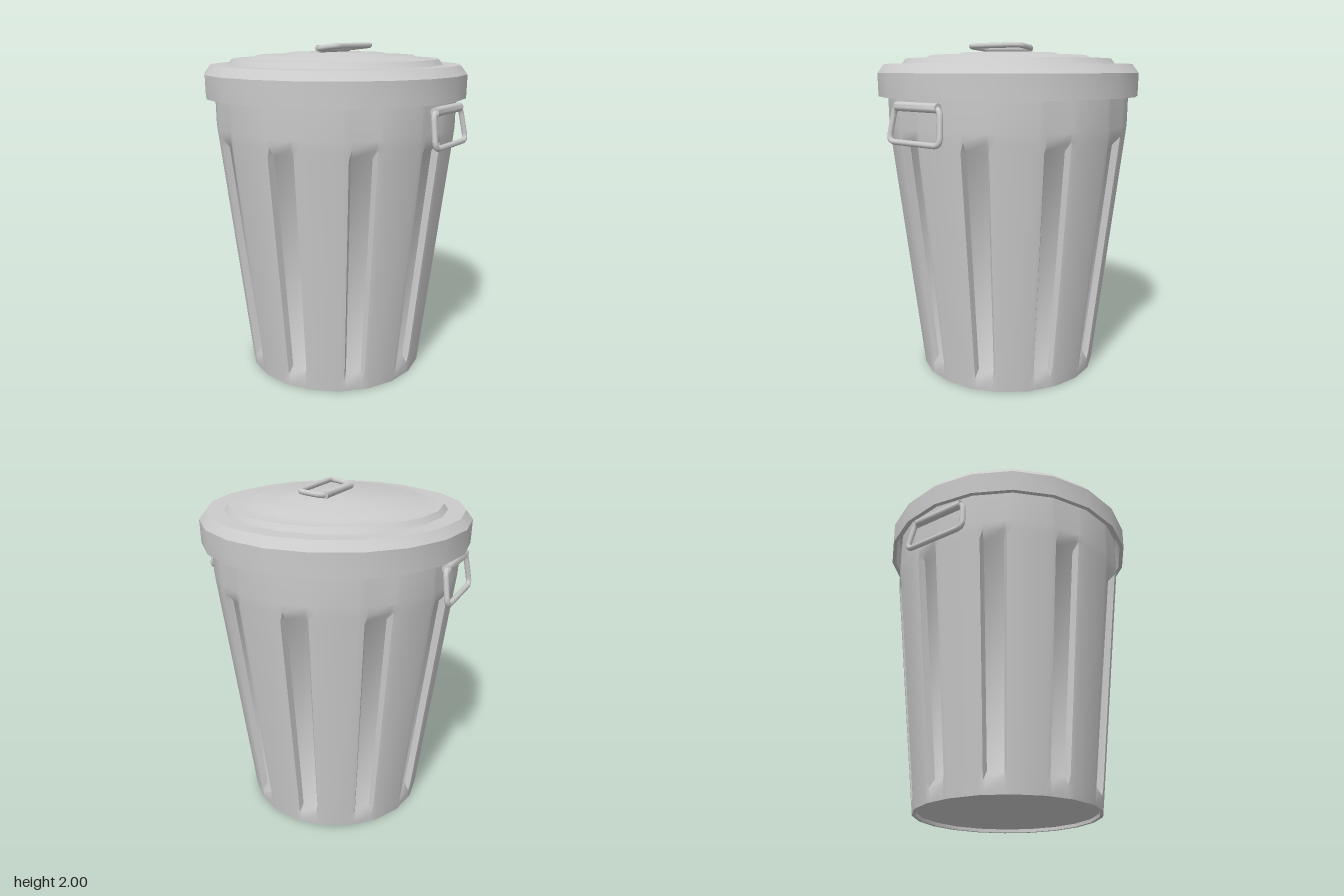
import * as THREE from 'three';
import { toCreasedNormals } from 'three/addons/utils/BufferGeometryUtils.js';

const SIDES = 20;
const CREASE = THREE.MathUtils.degToRad(38);
const material = new THREE.MeshStandardMaterial({ color: 0xcccccc, side: THREE.DoubleSide });

function addMesh(parent, name, geometry) {
  const mesh = new THREE.Mesh(geometry, material);
  mesh.name = name;
  parent.add(mesh);
  return mesh;
}

function lathe(profile) {
  const points = profile.map(([r, y]) => new THREE.Vector2(r, y));
  return toCreasedNormals(new THREE.LatheGeometry(points, SIDES), CREASE);
}

// Tapered twenty-sided wall with a flute sunk into every other side
function wallGeometry() {
  // [height, corner radius, flute depth]
  const rows = [
    [0, 0.545, 0], [0.075, 0.554, 0], [0.125, 0.56, 0.035],
    [1.42, 0.711, 0.035], [1.47, 0.717, 0], [1.52, 0.722, 0], [1.75, 0.725, 0],
  ];
  // [degrees within a 36 degree repeat, 1 on the flute floor]
  const steps = [[0, 0], [2.7, 0], [4, 1], [14, 1], [15.3, 0], [18, 0]];
  const columns = [];
  for (let k = 0; k < SIDES / 2; k++) {
    for (const [degrees, sunk] of steps) columns.push([k * 36 + degrees, degrees, sunk]);
  }
  const rad = THREE.MathUtils.degToRad;
  const positions = [];
  const indices = [];
  const n = columns.length;
  rows.forEach(([y, radius, depth], j) => {
    columns.forEach(([angle, local, sunk], i) => {
      // keeps the points of one side on its flat chord
      const r = radius * Math.cos(rad(9)) / Math.cos(rad(local - 9)) - sunk * depth;
      positions.push(r * Math.sin(rad(angle)), y, r * Math.cos(rad(angle)));
      if (j < rows.length - 1) {
        const a = j * n + i;
        const b = j * n + (i + 1) % n;
        indices.push(a, b, b + n, a, b + n, a + n);
      }
    });
  });
  const geometry = new THREE.BufferGeometry();
  geometry.setAttribute('position', new THREE.Float32BufferAttribute(positions, 3));
  geometry.setIndex(indices);
  return toCreasedNormals(geometry, CREASE);
}

// Closed wire loop with rounded corners, hanging down from its sleeve
function loopGeometry(length) {
  const corners = [[0, 0.18], [0, -0.18], [-length, -0.205], [-length, 0.205]]
    .map(([y, z]) => new THREE.Vector3(0, y, z));
  const path = new THREE.CurvePath();
  const bend = 0.045;
  const toward = (from, to) => from.clone().add(to.clone().sub(from).setLength(bend));
  corners.forEach((corner, i) => {
    const previous = corners[(i + 3) % 4];
    const next = corners[(i + 1) % 4];
    path.add(new THREE.QuadraticBezierCurve3(toward(corner, previous), corner, toward(corner, next)));
    path.add(new THREE.LineCurve3(toward(corner, next), toward(next, corner)));
  });
  return new THREE.TubeGeometry(path, 72, 0.016, 8, true);
}

function makeHandle(name, length, sleeveRadius) {
  const handle = new THREE.Group();
  handle.name = name;
  addMesh(handle, 'handleLoop', loopGeometry(length));
  const sleeve = toCreasedNormals(new THREE.CylinderGeometry(sleeveRadius, sleeveRadius, 0.33, 10), CREASE);
  addMesh(handle, 'handleSleeve', sleeve).rotation.x = Math.PI / 2;
  return handle;
}

export function createModel() {
  const model = new THREE.Group();
  model.name = 'trashCan';

  // Can
  addMesh(model, 'canWall', wallGeometry());
  addMesh(model, 'canBase', lathe([[0, 0.02], [0.525, 0.02], [0.525, 0], [0.545, 0]]));

  // Lid with stepped rings and a deep rim
  addMesh(model, 'lid', lathe([
    [0.74, 1.84], [0.755, 1.69], [0.78, 1.69], [0.782, 1.825], [0.742, 1.876],
    [0.64, 1.876], [0.617, 1.908], [0.505, 1.91], [0.465, 1.928],
    [0.32, 1.93], [0.28, 1.943], [0, 1.945],
  ]));

  // Lid handle, lying almost flat toward +x
  const lidHandle = makeHandle('lidHandle', 0.145, 0.022);
  lidHandle.position.set(-0.012, 1.966, 0);
  lidHandle.rotation.z = Math.PI / 2 + 0.12;
  model.add(lidHandle);

  // Side handles, mirrored left and right
  for (const [name, turn] of [['leftHandle', 0], ['rightHandle', Math.PI]]) {
    const side = new THREE.Group();
    side.name = name + 'Mount';
    side.rotation.y = turn;
    const handle = makeHandle(name, 0.195, 0.026);
    handle.position.set(0.734, 1.648, 0);
    handle.rotation.z = 0.16;
    side.add(handle);
    model.add(side);
  }
  return model;
}
